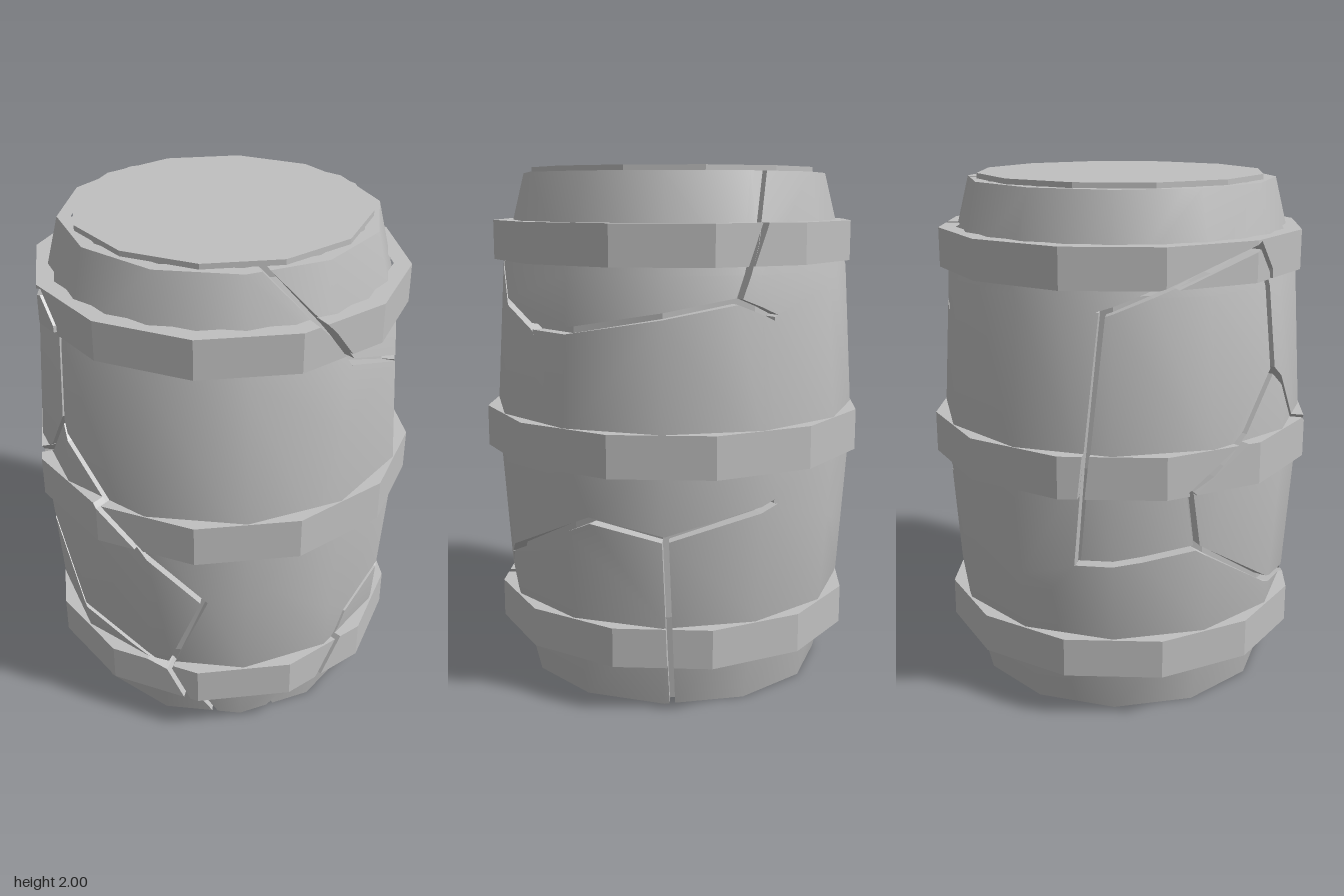
import * as THREE from 'three';

const R = 0.68;                       // radius used to unroll the barrel into flat (s, y) space
const RAD = Math.PI / 180, STEP = Math.PI / 6, GAP = 0.012;

// Body profile: [height, apothem of the 12-sided section]
const PROFILE = [[0, 0.577], [0.36, 0.663], [1, 0.705], [1.62, 0.668], [1.98, 0.58]];

function bodyApothem(y) {
  let i = 0;
  while (i < PROFILE.length - 2 && y > PROFILE[i + 1][0]) i++;
  const [y0, a0] = PROFILE[i], [y1, a1] = PROFILE[i + 1];
  return a0 + (a1 - a0) * (y - y0) / (y1 - y0);
}

// Crack nodes: [angle in degrees from the front, height]
const NODES = {
  A: [2, 0.67], B: [-10, 0.32], b: [-47, 0.45], C: [5, 0], D: [28, 0], d: [43, 0.19],
  E: [56, 0.43], F: [23, 0.725], G: [15, 0.68], H: [-49, 1.31], h: [-62, 1.1], g: [-82, 0.92],
  I: [-108, 1.57], J: [-116, 0.64], K: [-79, 0.69], k: [-96, 0.66], L: [-125, 0.52], l: [-120, 0],
  M: [204, 0.65], N: [170, 0.79], P: [112, 0.73], p: [104, 1.07], Q: [88, 1.42], q: [75, 1.5],
  R: [50, 1.61], r: [38, 1.05], e: [41, 1.75], f: [22, 1.98], S: [136, 0.68], s: [138, 0],
  T: [158, 1.53], t: [134, 1.48], u: [105, 1.42], m: [172, 1.98], U: [170, 1.47],
  V: [-139, 1.68], W: [-51, 1.68], w: [-58, 1.78], X: [-80, 1.98],
};

// Shards as loops of nodes, counter-clockwise from outside
const SHARDS = ['CDdEFGAB', 'DsSPEd', 'slLMNS', 'lCBbKkJL', 'BAHhgKb', 'KghHWwIJk',
  'NMLJIVU', 'PSNUTtuQp', 'EPpQqRrF', 'AGFrRefXmTUVIwWH', 'RqQutTmfe'];

// Closed seams and the outer rims, which get no gap
const CLOSED = new Set('AG GF FE Fr rR Qp pP UN UV VI NM ML LJ Ll CD Ds sl lC fX Xm mf'
  .split(' ').flatMap((e) => [e, e[1] + e[0]]));

// Unroll a shard and pull its cracked edges inward
function shardOutline(loop) {
  const pts = [];
  let last = null;
  for (const c of loop) {
    let a = NODES[c][0];
    if (last !== null) a -= 360 * Math.round((a - last) / 360);
    last = a;
    pts.push([a * RAD * R, NODES[c][1]]);
  }
  const n = pts.length;
  const edges = pts.map((p, i) => {
    const q = pts[(i + 1) % n], len = Math.hypot(q[0] - p[0], q[1] - p[1]);
    const nx = -(q[1] - p[1]) / len, ny = (q[0] - p[0]) / len;
    const gap = CLOSED.has(loop[i] + loop[(i + 1) % n]) ? 0 : GAP;
    return { nx, ny, gap };
  });
  return pts.map((p, i) => {
    const a = edges[(i + n - 1) % n], b = edges[i];
    const det = a.nx * b.ny - a.ny * b.nx;
    if (Math.abs(det) < 0.25) {
      const g = Math.max(a.gap, b.gap);
      return [p[0] + b.nx * g, p[1] + b.ny * g];
    }
    return [p[0] + (a.gap * b.ny - b.gap * a.ny) / det, p[1] + (a.nx * b.gap - b.nx * a.gap) / det];
  });
}

// Keep the part of a polygon where sign * p[axis] >= sign * limit
function clip(poly, axis, limit, sign) {
  const out = [];
  poly.forEach((p, i) => {
    const q = poly[(i + 1) % poly.length];
    const dp = sign * (p[axis] - limit), dq = sign * (q[axis] - limit);
    if (dp >= 0) out.push(p);
    if (dp * dq < 0) {
      const t = dp / (dp - dq), c = [p[0] + (q[0] - p[0]) * t, p[1] + (q[1] - p[1]) * t];
      c[axis] = limit;
      out.push(c);
    }
  });
  return out;
}

// Wrap a shard around a 12-sided shell, with walls running inward along its edges
function wrapShard(outline, { rings, apothem, phase, depth, smooth }) {
  const pos = [], nor = [];
  const yMin = rings[0], yMax = rings[rings.length - 1];
  const same = (a, b, v) => Math.abs(a - v) < 1e-6 && Math.abs(b - v) < 1e-6;
  const push = (v, n) => { pos.push(v.x, v.y, v.z); nor.push(n.x, n.y, n.z); };

  for (let k = -14; k <= 26; k++) {
    const t0 = phase + k * STEP, mid = t0 + STEP / 2;
    const s0 = t0 * R, s1 = (t0 + STEP) * R;
    const strip = clip(clip(outline, 0, s0, 1), 0, s1, -1);
    if (strip.length < 3) continue;
    for (let j = 0; j < rings.length - 1; j++) {
      const poly = clip(clip(strip, 1, rings[j], 1), 1, rings[j + 1], -1)
        .filter((p, i, all) => {
          const q = all[(i + 1) % all.length];
          return Math.hypot(p[0] - q[0], p[1] - q[1]) > 1e-6;
        });
      if (poly.length < 3) continue;
      const at = ([s, y], inset) => {
        const t = s / R, r = (apothem(y) - inset) / Math.cos(t - mid);
        return new THREE.Vector3(r * Math.sin(t), y, r * Math.cos(t));
      };
      const normalAt = ([s, y]) => {
        const t = smooth ? s / R : mid;
        const lo = Math.max(yMin, y - 0.2), hi = Math.min(yMax, y + 0.2);
        const slope = (apothem(lo) - apothem(hi)) / (hi - lo);
        return new THREE.Vector3(Math.sin(t), slope, Math.cos(t)).normalize();
      };
      // outer face
      const contour = poly.map((p) => new THREE.Vector2(p[0], p[1]));
      for (const [a, b, c] of THREE.ShapeUtils.triangulateShape(contour, [])) {
        const [A, B, C] = [poly[a], poly[b], poly[c]];
        const area = (B[0] - A[0]) * (C[1] - A[1]) - (B[1] - A[1]) * (C[0] - A[0]);
        for (const p of area > 0 ? [A, B, C] : [A, C, B]) push(at(p, 0), normalAt(p));
      }
      // edge walls, skipping the cuts between neighbouring facets
      poly.forEach((p, i) => {
        const q = poly[(i + 1) % poly.length];
        if (same(p[0], q[0], s0) || same(p[0], q[0], s1)) return;
        if (rings.slice(1, -1).some((y) => same(p[1], q[1], y))) return;
        const po = at(p, 0), pi = at(p, depth), qi = at(q, depth), qo = at(q, 0);
        const n = pi.clone().sub(po).cross(qi.clone().sub(pi)).normalize();
        for (const v of [po, pi, qi, po, qi, qo]) push(v, n);
      });
    }
  }
  if (!pos.length) return null;
  const g = new THREE.BufferGeometry();
  g.setAttribute('position', new THREE.Float32BufferAttribute(pos, 3));
  g.setAttribute('normal', new THREE.Float32BufferAttribute(nor, 3));
  return g;
}

function flat(geometry) {
  const g = geometry.toNonIndexed();
  g.computeVertexNormals();
  return g;
}

export function createModel() {
  const model = new THREE.Group();
  model.name = 'crackedBarrel';
  const grey = new THREE.MeshStandardMaterial({ color: 0xc0c0c0 });
  grey.name = 'plainGrey';
  const outlines = SHARDS.map(shardOutline);

  const addShell = (name, options) => {
    const group = new THREE.Group();
    group.name = name;
    outlines.forEach((outline, i) => {
      const g = wrapShard(outline, options);
      if (!g) return;
      const mesh = new THREE.Mesh(g, grey);
      mesh.name = `${name}Shard${i + 1}`;
      group.add(mesh);
    });
    model.add(group);
  };

  // Bulging body, broken into shards
  addShell('body', {
    rings: PROFILE.map((p) => p[0]), apothem: bodyApothem, phase: STEP / 2, depth: 0.05, smooth: true,
  });

  // Three hoops, cracked along the same lines
  const hoops = [['lowerHoop', 0.185, 0.335, 0.713], ['middleHoop', 0.91, 1.07, 0.755], ['upperHoop', 1.65, 1.8, 0.713]];
  for (const [name, y0, y1, radius] of hoops) {
    const a = radius * Math.cos(STEP / 2);
    addShell(name, { rings: [y0, y1], apothem: () => a, phase: 0, depth: 0.065, smooth: false });
  }

  // Solid core that closes the cracks from inside
  const c = Math.cos(STEP / 2);
  const corePoints = [[0, 0], ...PROFILE.map(([y, a]) => [(a - 0.05) / c, Math.min(y, 1.97)]), [0, 1.97]]
    .map(([r, y]) => new THREE.Vector2(r, y));
  const core = new THREE.Mesh(flat(new THREE.LatheGeometry(corePoints, 12, STEP / 2)), grey);
  core.name = 'core';
  model.add(core);

  // Lid disc
  const lid = new THREE.Mesh(flat(new THREE.CylinderGeometry(0.56, 0.56, 0.06, 12)), grey);
  lid.name = 'lid';
  lid.position.y = 1.97;
  model.add(lid);

  return model;
}
